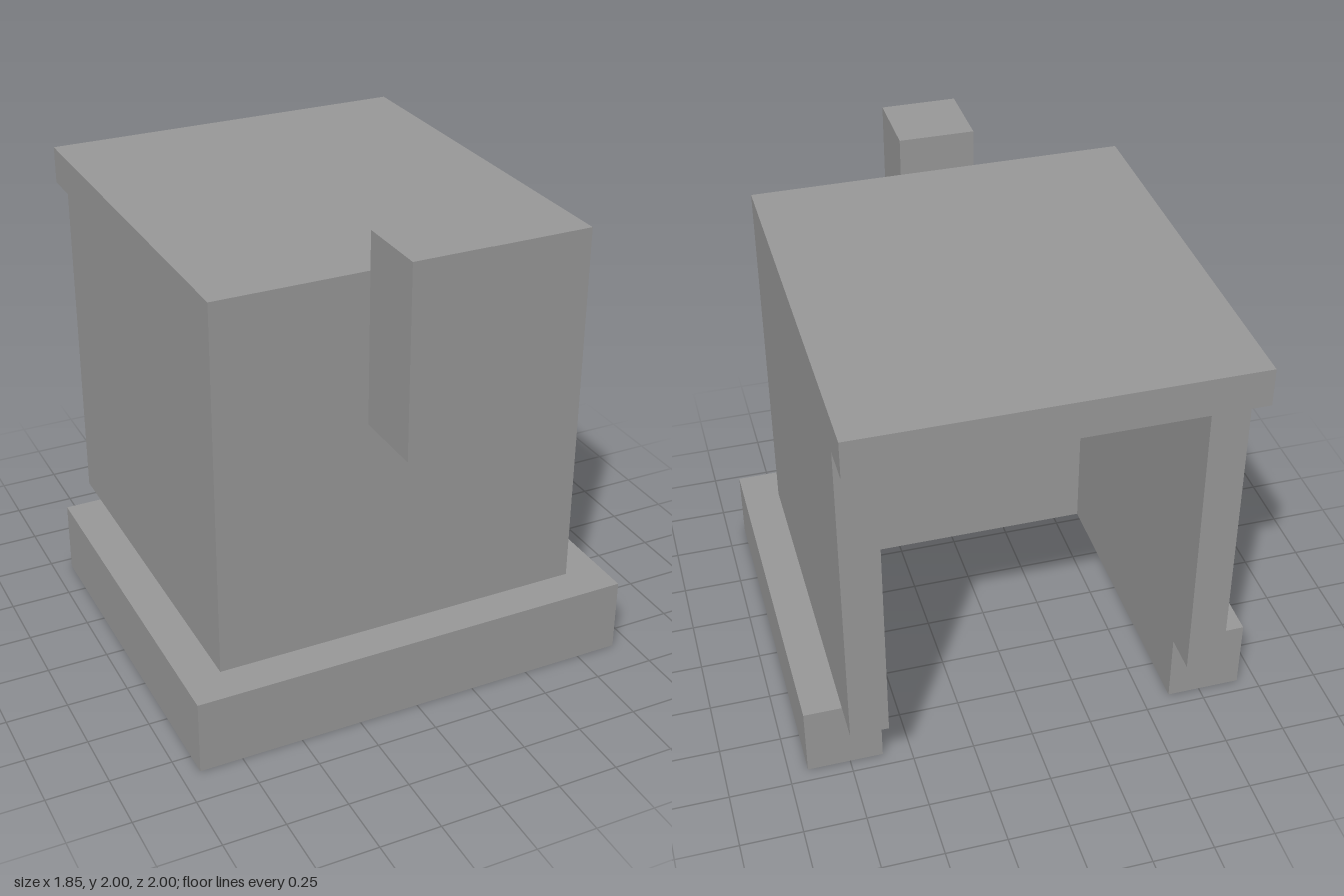
import * as THREE from 'three';
import { mergeGeometries } from 'three/addons/utils/BufferGeometryUtils.js';

const U = 2 / 13; // modular unit

export function createModel() {
  const group = new THREE.Group();
  const grey = new THREE.MeshStandardMaterial({ color: 0x999999 });
  grey.name = 'grey';

  const add = (name, geometry) => {
    const mesh = new THREE.Mesh(geometry, grey);
    mesh.name = name;
    group.add(mesh);
  };

  // Box between two corners, given in modular units
  const box = (x0, x1, y0, y1, z0, z1) =>
    new THREE.BoxGeometry((x1 - x0) * U, (y1 - y0) * U, (z1 - z0) * U)
      .translate((x0 + x1) * U / 2, (y0 + y1) * U / 2, (z0 + z1) * U / 2);

  // U-shaped plan, open at the back, extruded from y0 to y1
  const horseshoe = (outer, inner, back, front, innerFront, y0, y1) => {
    const plan = [
      [-outer, back], [-outer, front], [outer, front], [outer, back],
      [inner, back], [inner, innerFront], [-inner, innerFront], [-inner, back],
    ].map(([x, z]) => new THREE.Vector2(x * U, -z * U));
    return new THREE.ExtrudeGeometry(new THREE.Shape(plan), { depth: (y1 - y0) * U, bevelEnabled: false })
      .rotateX(-Math.PI / 2)
      .translate(0, y0 * U, 0);
  };

  // Wide footing around three sides, its inner faces flush with the walls
  add('base', horseshoe(6, 4, -4.5, 5.5, 3.5, 0, 2));

  // Thin walls, reaching further back than the footing
  add('walls', horseshoe(5, 4, -5.5, 4.5, 3.5, 2, 11));

  // Roof slab overhanging the open back
  add('roof', mergeGeometries([box(-5, 5, 11, 12, -6.5, 4.5)]));

  // Square post fixed to the front wall
  add('frontPost', box(-1, 1, 8, 13, 4.5, 6.5));

  return group;
}
